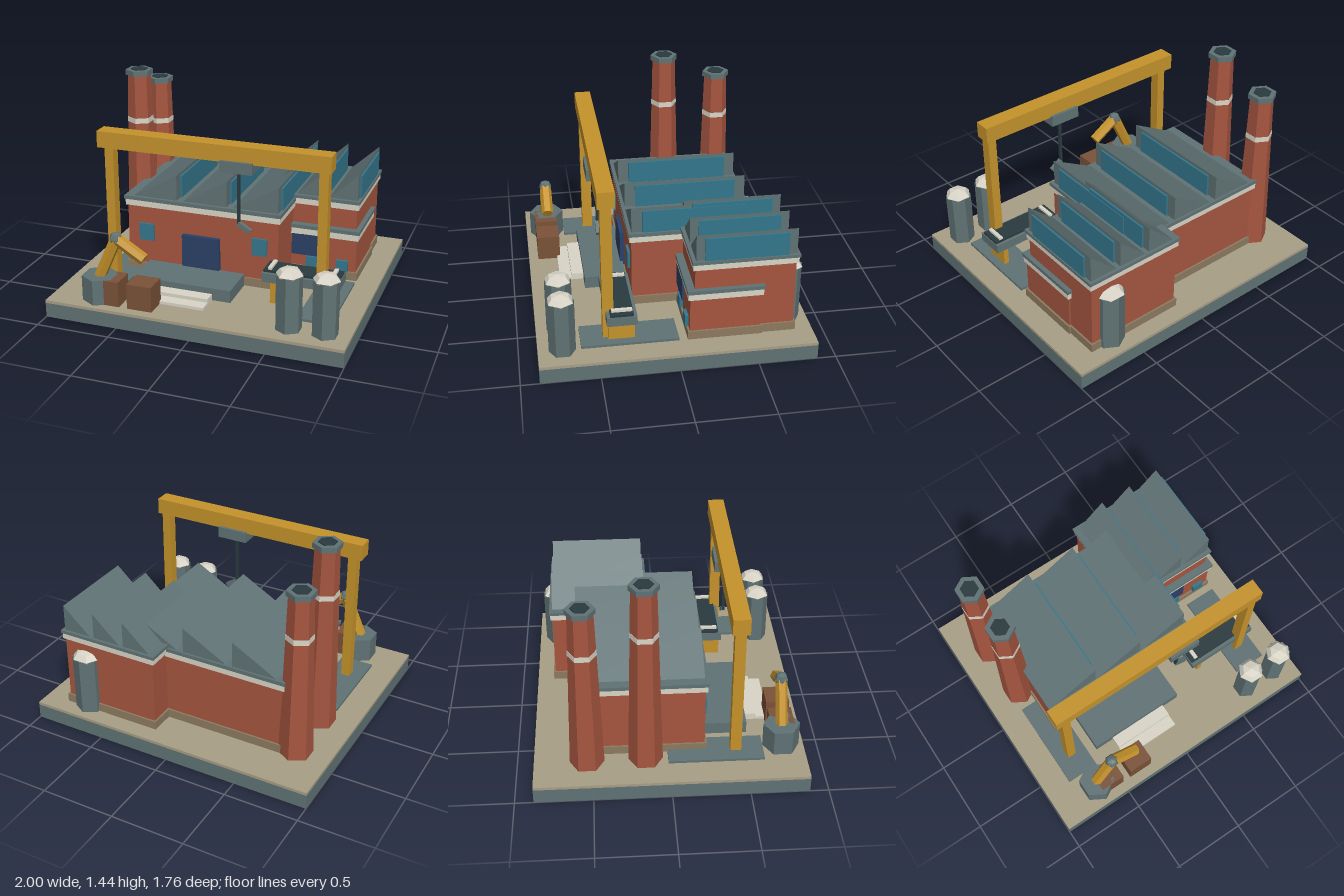
import * as THREE from 'three';

const COLORS = {
  slate: 0x607274, brick: 0xa5553f, gold: 0xc4922b, teal: 0x34768c, navy: 0x2b4066, tan: 0xa89e86,
  cream: 0xd8d4c6, crate: 0x7a5238, dark: 0x2a3a3e, plinth: 0x8c7a60,
};
const mats = {};
for (const [key, color] of Object.entries(COLORS)) {
  mats[key] = new THREE.MeshStandardMaterial({ color, flatShading: true });
}

export function createModel() {
  const model = new THREE.Group();

  const add = (name, geometry, color, parent = model) => {
    const mesh = new THREE.Mesh(geometry, mats[color]);
    mesh.name = name;
    parent.add(mesh);
    return mesh;
  };
  // box given by its limits on each axis
  const box = (name, color, [x0, x1], [y0, y1], [z0, z1], parent) => {
    const mesh = add(name, new THREE.BoxGeometry(x1 - x0, y1 - y0, z1 - z0), color, parent);
    mesh.position.set((x0 + x1) / 2, (y0 + y1) / 2, (z0 + z1) / 2);
    return mesh;
  };
  // upright six-sided prism from y0 to y1
  const hex = (name, color, rTop, rBottom, x, y0, y1, z, parent) => {
    const mesh = add(name, new THREE.CylinderGeometry(rTop, rBottom, y1 - y0, 6), color, parent);
    mesh.position.set(x, (y0 + y1) / 2, z);
    return mesh;
  };
  const group = (name) => {
    const g = new THREE.Group();
    g.name = name;
    model.add(g);
    return g;
  };
  const grow = ([a, b], d) => [a - d, b + d];

  // ground slab
  box('baseSlab', 'slate', [-1, 1], [0, 0.1], [-0.88, 0.88]);
  box('groundSurface', 'tan', [-1, 1], [0.1, 0.12], [-0.88, 0.88]);

  // brick halls: plinth, walls, pale trim, roof slab
  const hall = (name, x, z, wallTop, trimTop, roofTop) => {
    const g = group(name);
    box('plinth', 'plinth', grow(x, 0.013), [0.12, 0.178], grow(z, 0.013), g);
    box('walls', 'brick', x, [0.12, wallTop], z, g);
    box('trim', 'cream', grow(x, 0.013), [wallTop, trimTop], grow(z, 0.013), g);
    box('roofSlab', 'slate', grow(x, 0.02), [trimTop, roofTop], grow(z, 0.02), g);
    return g;
  };
  const mainHall = hall('mainHall', [-0.69, 0.38], [-0.59, 0.228], 0.592, 0.635, 0.66);
  const sideHall = hall('sideHall', [0.15, 0.82], [-0.755, -0.113], 0.618, 0.66, 0.682);
  const annex = hall('annex', [0.38, 0.832], [-0.537, -0.083], 0.41, 0.455, 0.48);

  // sawtooth roofs with glazing on the upright side
  const sawtooth = (parent, starts, width, y0, y1, [z0, z1], inset) => {
    for (const x of starts) {
      const shape = new THREE.Shape([
        new THREE.Vector2(0, 0), new THREE.Vector2(width, 0), new THREE.Vector2(width, y1 - y0),
      ]);
      const geo = new THREE.ExtrudeGeometry(shape, { depth: z1 - z0, bevelEnabled: false });
      add('roofTooth', geo, 'slate', parent).position.set(x, y0, z0);
      box('roofGlazing', 'teal', [x + width - 0.01, x + width + 0.013], [y0, y1 - 0.022],
        [z0 + inset, z1 - inset], parent);
    }
  };
  sawtooth(mainHall, [-0.645, -0.29, 0.065], 0.31, 0.66, 0.835, [-0.595, 0.225], 0.07);
  sawtooth(sideHall, [0.175, 0.4, 0.625], 0.195, 0.68, 0.86, [-0.755, -0.118], 0.055);

  // doors and windows
  box('mainDoor', 'navy', [-0.29, -0.025], [0.18, 0.43], [0.2, 0.257], mainHall);
  for (const x of [-0.605, 0.2]) {
    box('mainWindow', 'teal', [x, x + 0.105], [0.35, 0.47], [0.2, 0.245], mainHall);
  }
  box('annexDoor', 'navy', [0.385, 0.61], [0.26, 0.412], [-0.1, -0.07], annex);
  for (const x of [0.49, 0.7]) {
    box('annexWindow', 'teal', [x, x + 0.08], [0.18, 0.257], [-0.1, -0.06], annex);
  }

  // chimneys with pale band and hollow-looking cap
  for (const [x, z, top, band] of [[-0.755, -0.16, 1.4, 1.066], [-0.765, -0.537, 1.255, 0.957]]) {
    const g = group('chimney');
    const radiusAt = (y) => 0.112 - (0.032 * (y - 0.12)) / (top - 0.12);
    hex('stack', 'brick', 0.08, 0.112, x, 0.12, top, z, g);
    hex('band', 'cream', radiusAt(band + 0.036) + 0.002, radiusAt(band) + 0.002, x, band, band + 0.036, z, g);
    hex('cap', 'slate', 0.094, 0.094, x, top, top + 0.036, z, g);
    hex('flue', 'dark', 0.06, 0.06, x, top + 0.02, top + 0.041, z, g);
  }

  // storage tanks with faceted domes
  for (const [x, z, r, top, rise] of [
    [0.607, 0.725, 0.085, 0.49, 0.045], [0.84, 0.725, 0.085, 0.49, 0.045], [0.67, -0.735, 0.1, 0.515, 0.051],
  ]) {
    const g = group('storageTank');
    hex('tankBody', 'slate', r, r, x, 0.12, top, z, g);
    const dome = add('tankDome', new THREE.SphereGeometry(r * 1.03, 6, 4), 'cream', g);
    dome.scale.y = rise / (r * 1.03);
    dome.position.set(x, top, z);
  }

  // loading dock with steps
  const dock = group('loadingDock');
  box('platform', 'slate', [-0.535, 0.15], [0.12, 0.204], [0.24, 0.52], dock);
  box('upperStep', 'cream', [-0.4, 0.025], [0.12, 0.164], [0.5, 0.602], dock);
  box('lowerStep', 'cream', [-0.4, 0.025], [0.12, 0.14], [0.59, 0.682], dock);

  // gantry crane
  const crane = group('gantryCrane');
  for (const [padX, postX] of [[-0.82, -0.734], [0.62, 0.705]]) {
    box('cranePad', 'slate', [padX, padX + 0.225], [0.12, 0.137], [-0.015, 0.607], crane);
    box('cranePost', 'gold', [postX, postX + 0.06], [0.13, 1.08], [0.392, 0.463], crane);
  }
  box('craneBeam', 'gold', [-0.778, 0.784], [1.068, 1.178], [0.37, 0.48], crane);
  box('trolley', 'slate', [0.07, 0.285], [1.005, 1.08], [0.35, 0.498], crane);
  box('cable', 'dark', [0.166, 0.184], [0.64, 1.01], [0.418, 0.436], crane);
  const hook = box('hook', 'slate', [0.165, 0.26], [0.608, 0.638], [0.412, 0.442], crane);
  hook.rotation.z = -0.55;

  // conveyor
  const conveyor = group('conveyor');
  box('conveyorBed', 'slate', [0.335, 0.845], [0.268, 0.33], [0.25, 0.442], conveyor);
  box('belt', 'dark', [0.34, 0.84], [0.325, 0.345], [0.272, 0.42], conveyor);
  for (const [legX, rollerX] of [[0.39, 0.368], [0.755, 0.78]]) {
    box('conveyorLeg', 'gold', [legX, legX + 0.036], [0.12, 0.27], [0.262, 0.43], conveyor);
    box('beltStrip', 'cream', [rollerX, rollerX + 0.026], [0.34, 0.36], [0.278, 0.41], conveyor);
  }

  // jointed robot arm
  const robot = group('robotArm');
  hex('robotBase', 'slate', 0.12, 0.12, -0.67, 0.12, 0.292, 0.73, robot);
  const armSegment = (name, from, to) => {
    const dir = to.clone().sub(from);
    const arm = add(name, new THREE.CylinderGeometry(0.04, 0.04, dir.length(), 6), 'gold', robot);
    arm.position.copy(from).addScaledVector(dir, 0.5);
    arm.quaternion.setFromUnitVectors(new THREE.Vector3(0, 1, 0), dir.normalize());
  };
  const elbow = new THREE.Vector3(-0.545, 0.56, 0.73);
  armSegment('lowerArm', new THREE.Vector3(-0.67, 0.28, 0.73), elbow);
  armSegment('upperArm', elbow, new THREE.Vector3(-0.355, 0.443, 0.73));
  add('elbowJoint', new THREE.SphereGeometry(0.047, 6, 4), 'slate', robot).position.copy(elbow);

  // crates
  for (const x of [-0.675, -0.447]) {
    box('crate', 'crate', [x, x + 0.17], [0.12, 0.292], [0.66, 0.815]);
  }

  return model;
}
